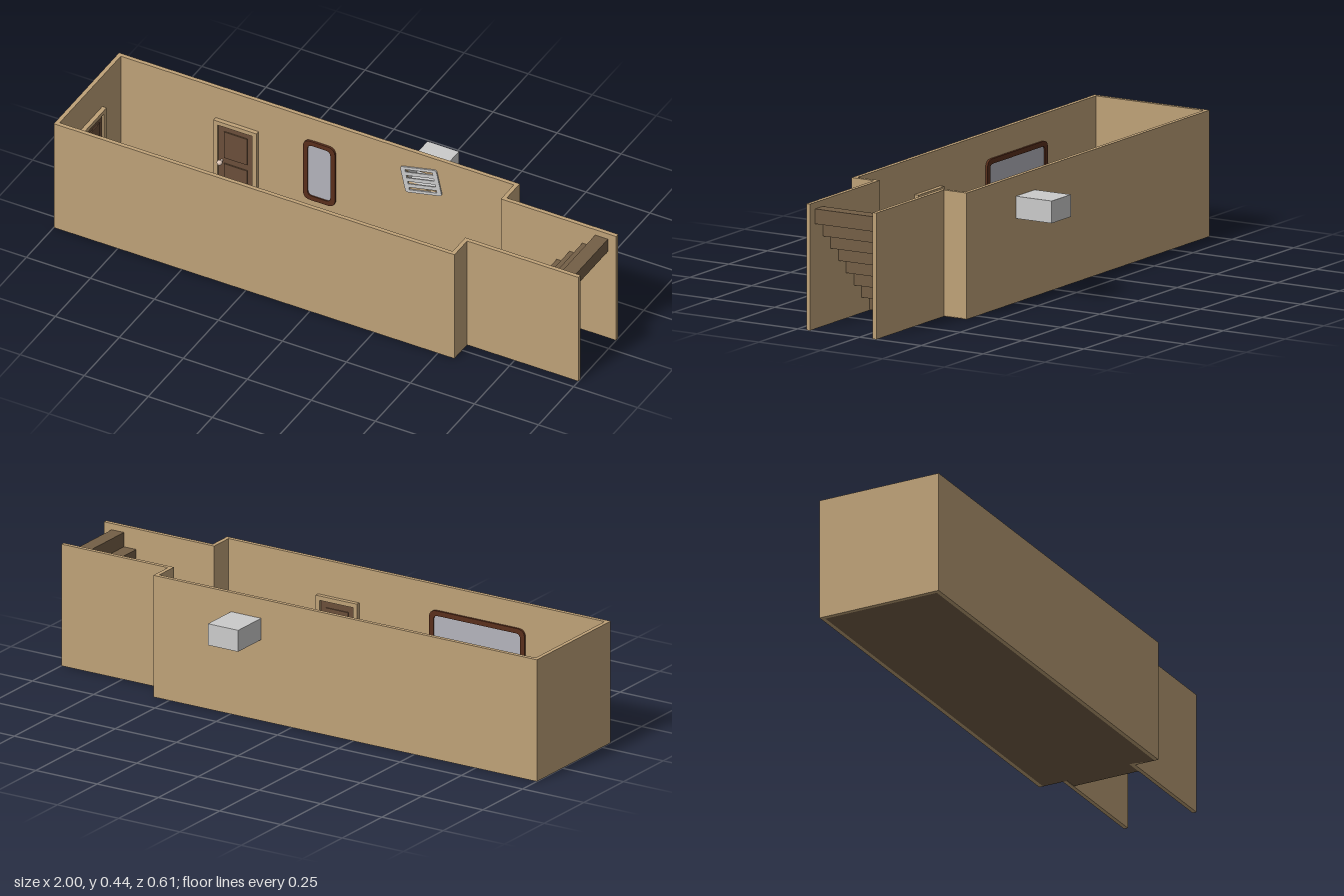
import * as THREE from 'three';

const mat = (color) => new THREE.MeshStandardMaterial({ color });
const M = {
  wall: mat(0xbfa278), brown: mat(0x745f46), dark: mat(0x3a2d20), door: mat(0x6b4f3a),
  frame: mat(0x5a2f1c), grey: mat(0xcccccc), pane: mat(0xb4b4bc), cyan: mat(0x8fdcea),
  knob: mat(0xe0c8b8), metal: mat(0x555555),
};
const H = 0.443, T = 0.015;
const X0 = -1, X1 = 0.565, Z0 = -0.16, Z1 = 0.305;

function add(parent, name, geometry, material, x = 0, y = 0, z = 0) {
  const mesh = new THREE.Mesh(geometry, material);
  mesh.name = name;
  mesh.position.set(x, y, z);
  parent.add(mesh);
  return mesh;
}

// Box given by its two extreme corners
function span(parent, name, material, [ax, ay, az], [bx, by, bz]) {
  return add(parent, name, new THREE.BoxGeometry(bx - ax, by - ay, bz - az), material,
    (ax + bx) / 2, (ay + by) / 2, (az + bz) / 2);
}

function roundedRect(path, w, h, r) {
  const x = w / 2, y = h / 2;
  path.moveTo(-x + r, -y);
  path.lineTo(x - r, -y);
  path.quadraticCurveTo(x, -y, x, -y + r);
  path.lineTo(x, y - r);
  path.quadraticCurveTo(x, y, x - r, y);
  path.lineTo(-x + r, y);
  path.quadraticCurveTo(-x, y, -x, y - r);
  path.lineTo(-x, -y + r);
  path.quadraticCurveTo(-x, -y, -x + r, -y);
  return path;
}

function rectHole(x0, y0, x1, y1) {
  const p = new THREE.Path();
  p.moveTo(x0, y0);
  p.lineTo(x0, y1);
  p.lineTo(x1, y1);
  p.lineTo(x1, y0);
  p.closePath();
  return p;
}

const extrude = (shape, depth) =>
  new THREE.ExtrudeGeometry(shape, { depth, bevelEnabled: false, curveSegments: 6 });

// Door facing local +z, standing on y = 0
function makeDoor(name, knobSide) {
  const g = new THREE.Group();
  g.name = name;
  const w = 0.168, h = 0.31, b = 0.016;
  for (const s of [-1, 1])
    add(g, 'doorJamb', new THREE.BoxGeometry(b, h, 0.016), M.wall, s * (w - b) / 2, h / 2, 0.008);
  add(g, 'doorHead', new THREE.BoxGeometry(w - 2 * b, b, 0.016), M.wall, 0, h - b / 2, 0.008);
  add(g, 'doorLeaf', new THREE.BoxGeometry(w - 2 * b, h - b, 0.008), M.door, 0, (h - b) / 2, 0.004);
  for (const y of [0.08, 0.215])
    add(g, 'doorPanel', new THREE.BoxGeometry(0.09, 0.11, 0.004), M.door, 0, y, 0.01);
  add(g, 'doorKnob', new THREE.SphereGeometry(0.01, 12, 8), M.knob, knobSide * 0.054, 0.145, 0.026);
  const stem = add(g, 'knobStem', new THREE.CylinderGeometry(0.004, 0.004, 0.018, 8), M.knob, knobSide * 0.054, 0.145, 0.014);
  stem.rotation.x = Math.PI / 2;
  return g;
}

// Pane in a rounded frame, facing local +z
function makeFramed(name, w, h) {
  const g = new THREE.Group();
  g.name = name;
  const b = 0.018;
  const shape = roundedRect(new THREE.Shape(), w, h, 0.03);
  shape.holes.push(roundedRect(new THREE.Path(), w - 2 * b, h - 2 * b, 0.018));
  add(g, 'paneFrame', extrude(shape, 0.008), M.frame);
  add(g, 'pane', extrude(roundedRect(new THREE.Shape(), w - b, h - b, 0.024), 0.003), M.pane);
  return g;
}

function place(parent, obj, x, y, z, turn) {
  obj.position.set(x, y, z);
  obj.rotation.y = turn;
  parent.add(obj);
}

export function createModel() {
  const root = new THREE.Group();
  root.name = 'corridorWithStairs';
  const sz0 = -0.068, sz1 = 0.215;

  // Room shell, with a duct opening in the back wall and an open doorway to the stairs
  span(root, 'floor', M.brown, [X0 + T, 0, Z0 + T], [X1, 0.004, Z1 - T]);
  span(root, 'frontWall', M.wall, [X0, 0, Z1 - T], [X1, H, Z1]);
  span(root, 'endWall', M.wall, [X0, 0, Z0 + T], [X0 + T, H, Z1 - T]);
  span(root, 'doorwayWallFront', M.wall, [X1 - T, 0, sz1 - T], [X1, H, Z1 - T]);
  span(root, 'doorwayWallBack', M.wall, [X1 - T, 0, Z0 + T], [X1, H, sz0 + T]);
  const back = new THREE.Shape();
  back.moveTo(X0, 0);
  back.lineTo(X1, 0);
  back.lineTo(X1, H);
  back.lineTo(X0, H);
  back.closePath();
  back.holes.push(rectHole(0.13, 0.3, 0.243, 0.368));
  add(root, 'backWall', extrude(back, T), M.wall, 0, 0, Z0);

  // Skirting boards
  const k = 0.005, kh = 0.025;
  span(root, 'skirtingFront', M.dark, [X0 + T, 0.004, Z1 - T - k], [X1 - T, kh, Z1 - T]);
  span(root, 'skirtingBack', M.dark, [X0 + T, 0.004, Z0 + T], [X1 - T, kh, Z0 + T + k]);
  span(root, 'skirtingEnd', M.dark, [X0 + T, 0.004, Z0 + T + k], [X0 + T + k, kh, Z1 - T - k]);

  // Stairs: stacked steps between two side walls
  const rise = 0.0523, run = 0.05;
  for (let i = 0; i < 8; i++)
    span(root, 'step', M.brown, [X1 + 0.003 + i * run, 0.002 + i * rise, sz0 + T],
      [X1 + 0.003 + (i + 1) * run, 0.002 + (i + 1) * rise, sz1 - T]);
  for (const z of [sz0, sz1 - T])
    span(root, 'stairWall', M.wall, [X1, 0, z], [1, H, z + T]);

  // Air duct: hollow box closed at its outer end
  const d = 0.005, dx0 = 0.125, dx1 = 0.248, dy0 = 0.295, dy1 = 0.373, dz = -0.305;
  span(root, 'ductEnd', M.grey, [dx0, dy0, dz], [dx1, dy1, dz + d]);
  for (const y of [dy0, dy1 - d])
    span(root, 'ductPlate', M.grey, [dx0, y, dz + d], [dx1, y + d, Z0]);
  for (const x of [dx0, dx1 - d])
    span(root, 'ductSide', M.grey, [x, dy0 + d, dz + d], [x + d, dy1 - d, Z0]);

  // Vent grille hanging crooked over the duct
  const plate = roundedRect(new THREE.Shape(), 0.145, 0.104, 0.01);
  for (let i = 0; i < 4; i++) {
    const y = -0.036 + i * 0.024;
    plate.holes.push(rectHole(-0.055, y - 0.005, 0.055, y + 0.005));
  }
  const grille = add(root, 'ventGrille', extrude(plate, 0.005), M.grey, 0.19, 0.333, Z0 + T + 0.001);
  grille.rotation.z = -0.22 + 0.44;

  // Loose screws below the vent
  for (const [x, z, a] of [[0.16, -0.12, 0.4], [0.21, -0.097, 1.2], [0.27, -0.12, 2.3]]) {
    const screw = add(root, 'screw', new THREE.CylinderGeometry(0.005, 0.002, 0.014, 8), M.metal, x, 0.009, z);
    screw.rotation.set(Math.PI / 2, 0, a);
  }

  // Doors
  const zf = Z1 - T, zb = Z0 + T, xe = X0 + T;
  place(root, makeDoor('backDoor', -1), -0.531, 0.004, zb, 0);
  place(root, makeDoor('frontDoor', -1), 0.1, 0.004, zf, Math.PI);
  place(root, makeDoor('endDoor', -1), xe, 0.004, 0.07, Math.PI / 2);

  // Mirror and wide window
  place(root, makeFramed('mirror', 0.125, 0.25), -0.207, 0.226, zb, 0);
  place(root, makeFramed('wideWindow', 0.39, 0.2), -0.468, 0.25, zf, Math.PI);

  // Light switch
  span(root, 'lightSwitch', M.grey, [0.197, 0.18, zf - 0.004], [0.227, 0.215, zf]);
  span(root, 'switchToggle', M.grey, [0.209, 0.192, zf - 0.008], [0.215, 0.203, zf - 0.004]);

  // Water cooler: stand with an upturned bottle
  const cooler = new THREE.Group();
  cooler.name = 'waterCooler';
  cooler.position.set(-0.13, 0.004, 0.235);
  root.add(cooler);
  add(cooler, 'coolerStand', new THREE.BoxGeometry(0.066, 0.15, 0.066), M.cyan, 0, 0.075, 0);
  add(cooler, 'coolerTap', new THREE.BoxGeometry(0.012, 0.012, 0.012), M.metal, 0, 0.12, -0.038);
  const profile = [[0, 0.15], [0.013, 0.15], [0.013, 0.165], [0.029, 0.18], [0.029, 0.225], [0.034, 0.23], [0.034, 0.24], [0, 0.24]];
  const bottle = add(cooler, 'coolerBottle', new THREE.LatheGeometry(profile.map(([x, y]) => new THREE.Vector2(x, y)), 20), M.cyan.clone());
  bottle.material.flatShading = true;

  // Waste bin
  add(root, 'wasteBin', new THREE.CylinderGeometry(0.031, 0.025, 0.085, 20), M.grey, -0.215, 0.0465, 0.235);
  add(root, 'binLid', new THREE.CylinderGeometry(0.02, 0.03, 0.01, 20), M.grey, -0.215, 0.094, 0.235);

  return root;
}
